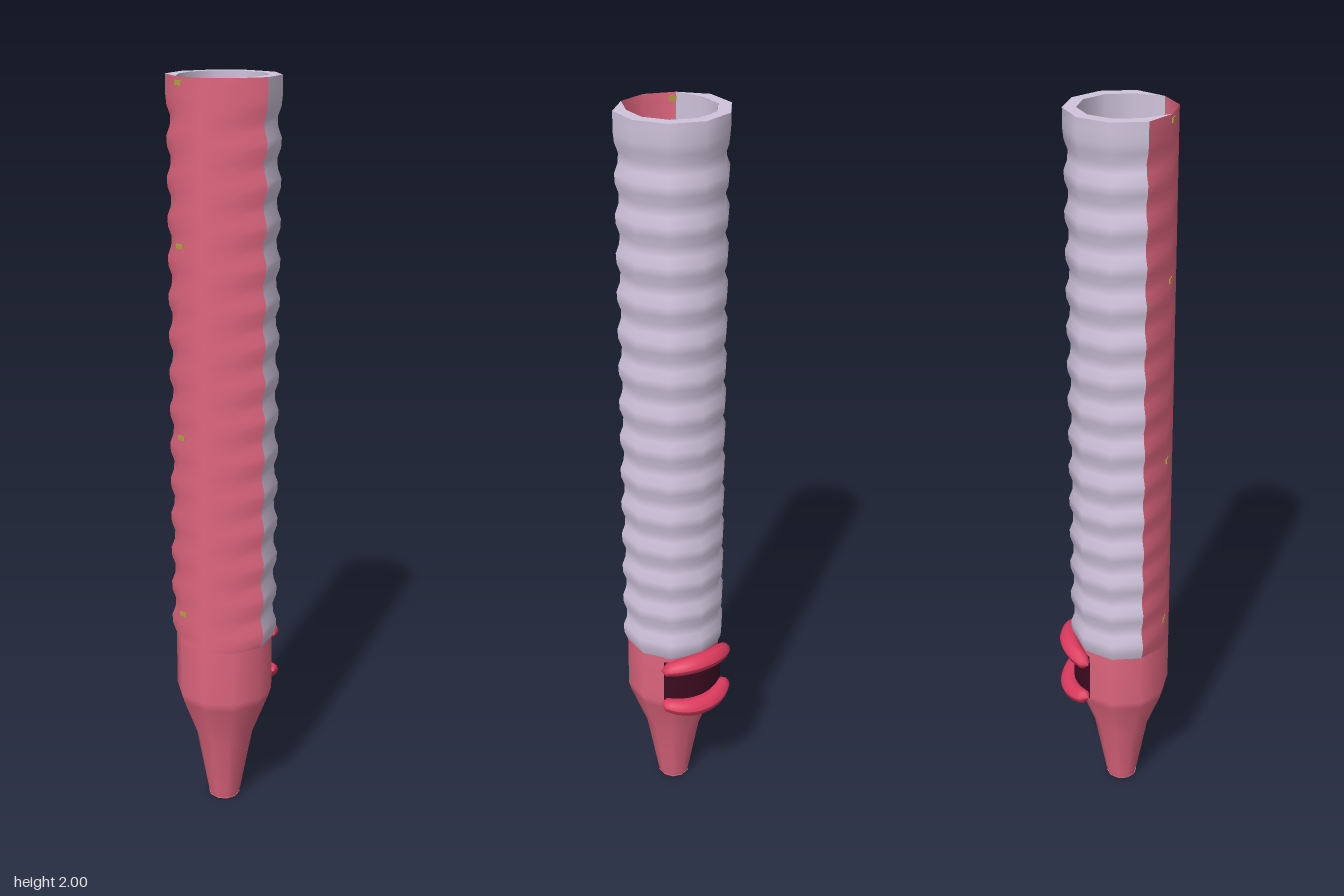
import * as THREE from 'three';

const CZ = 0.022;          // tube axis offset in z
const R = 0.132;           // plain tube radius
const BASE = 0.5, TOP = 2; // ridged section
const STEP = Math.PI / 5;  // ten-sided tube

function material(name, color) {
  const m = new THREE.MeshStandardMaterial({ color, side: THREE.DoubleSide });
  m.name = name;
  return m;
}

// Point on the tube: angle 0 faces the front
function polar(angle, r, y) {
  return [Math.sin(angle) * r, y, CZ + Math.cos(angle) * r];
}

// Surface of nu by nv cells from a point rule
function grid(nu, nv, point) {
  const pos = [], index = [];
  for (let j = 0; j <= nv; j++) {
    for (let i = 0; i <= nu; i++) pos.push(...point(i, j));
  }
  for (let j = 0; j < nv; j++) {
    for (let i = 0; i < nu; i++) {
      const a = j * (nu + 1) + i, b = a + 1, c = a + nu + 1, d = c + 1;
      index.push(a, b, d, a, d, c);
    }
  }
  const g = new THREE.BufferGeometry();
  g.setAttribute('position', new THREE.Float32BufferAttribute(pos, 3));
  g.setIndex(index);
  g.computeVertexNormals();
  return g;
}

// Ring ridges every 0.1, ending in a full rim
function ridge(y) {
  if (y > 1.94) return 0.145;
  return 0.1385 + 0.0065 * Math.cos((y - 0.54) * Math.PI * 20);
}

// The two edges and the front stay plain, the rest is ridged
function outerRadius(k, y) {
  return k <= 1 || k >= 9 ? R : ridge(y);
}

function innerRadius(k) {
  return k <= 1 || k >= 9 ? R : 0.112;
}

export function createModel() {
  const pink = material('pink flesh', 0xe0667f);
  const grey = material('pale lilac', 0xd0c4dc);
  const red = material('lip red', 0xdc3a5e);
  const dark = material('mouth dark', 0x3c0c20);
  const olive = material('olive speck', 0xb0a040);

  const group = new THREE.Group();
  const add = (name, geometry, mat) => {
    const mesh = new THREE.Mesh(geometry, mat);
    mesh.name = name;
    group.add(mesh);
    return mesh;
  };

  // Lower body tapering to the tip
  const profile = [[0.041, 0], [0.046, 0.02], [0.079, 0.2], [0.125, 0.32], [R, 0.345], [R, BASE]]
    .map(([x, y]) => new THREE.Vector2(x, y));
  add('lowerBody', new THREE.LatheGeometry(profile, 10), pink).position.z = CZ;
  const cap = add('tipCap', new THREE.CircleGeometry(0.044, 10, Math.PI / 2), pink);
  cap.rotation.x = Math.PI / 2;
  cap.position.set(0, 0.004, CZ);

  // Ridged section: pink front panel and lilac shell
  const rows = 60;
  const rowY = j => BASE + (TOP - BASE) * j / rows;
  add('frontPanel', grid(4, rows, (i, j) => {
    const k = (i + 8) % 10, y = rowY(j);
    return polar(k * STEP, outerRadius(k, y), y);
  }), pink);
  add('ridgedShell', grid(6, rows, (i, j) => {
    const k = i + 2, y = rowY(j);
    return polar(k * STEP, outerRadius(k, y), y);
  }), grey);
  add('innerWall', grid(8, 1, (i, j) => {
    const k = 9 - i;
    return polar(k * STEP, innerRadius(k) - 0.0005, j ? TOP : BASE);
  }), grey);

  // Flat rings joining inner and outer walls
  for (const [name, y] of [['topRim', TOP], ['lowerLedge', BASE]]) {
    add(name, grid(8, 1, (i, j) => {
      const k = i + 1;
      return polar(k * STEP, j ? innerRadius(k) : outerRadius(k, y), y);
    }), grey);
  }

  // Mouth opening on the back
  const mouthArc = 0.76;
  add('mouthOpening', grid(10, 1, (i, j) =>
    polar(Math.PI + (i / 5 - 1) * mouthArc, 0.137, j ? 0.49 : 0.345)), dark);

  // Lips: curved, tapered rolls around the opening
  const lip = (midY, endY) => grid(10, 16, (i, j) => {
    const t = j / 8 - 1;
    const size = j === 0 || j === 16 ? 0 : 0.012 + 0.015 * Math.sqrt(1 - t * t);
    const a = i / 10 * Math.PI * 2;
    const y = midY + (endY - midY) * t * t;
    return polar(Math.PI + t * 0.8, 0.149 + size * Math.cos(a), y + size * Math.sin(a));
  });
  add('upperLip', lip(0.488, 0.47), red);
  add('lowerLip', lip(0.34, 0.358), red);

  // Small specks on the front
  for (const y of [0.59, 1.09, 1.59, 1.985]) {
    const speck = add('speck', new THREE.BoxGeometry(0.022, 0.012, 0.004), olive);
    speck.position.set(-0.07, y, 0.131);
    speck.rotation.y = -STEP / 2;
  }
  return group;
}
